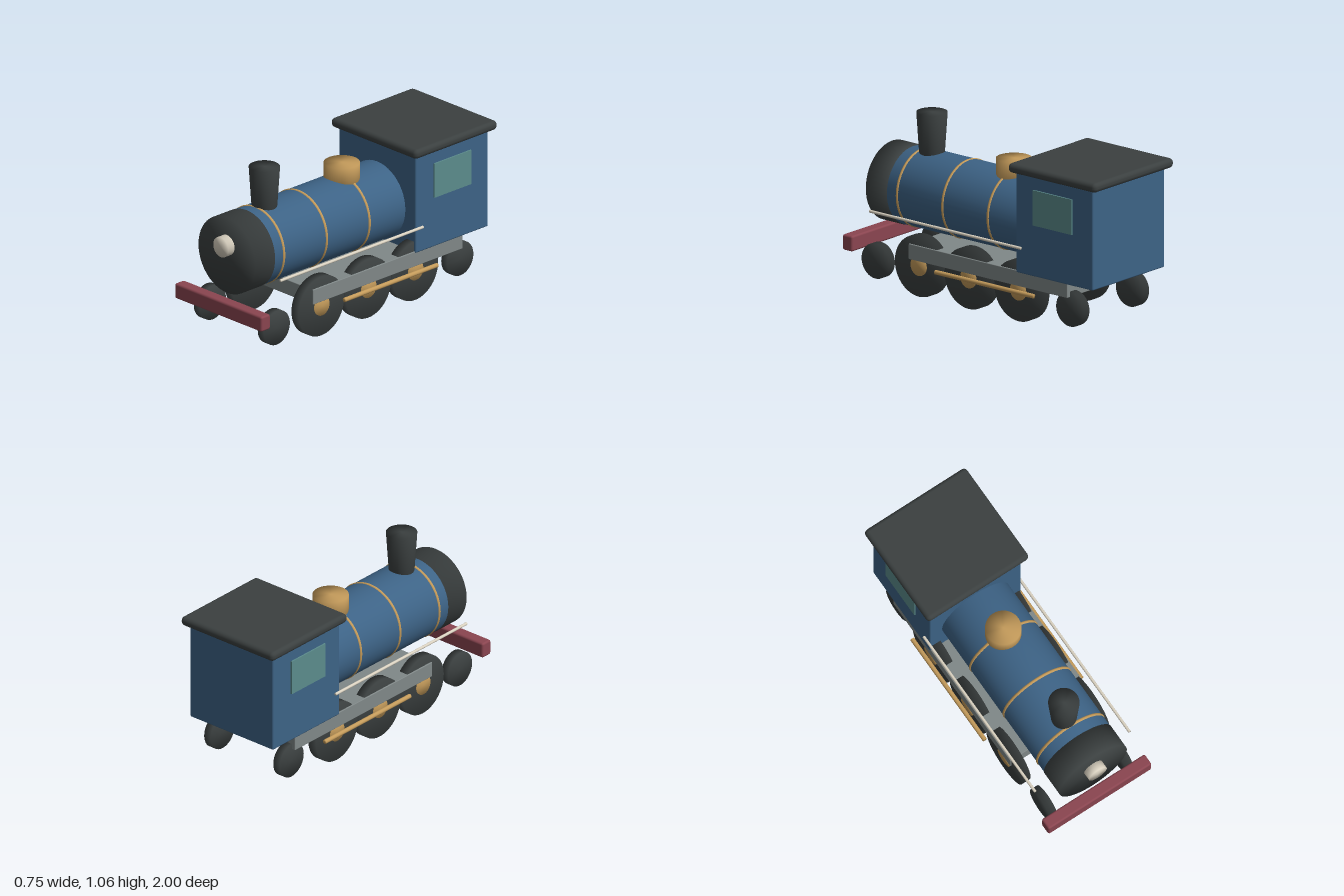
import * as THREE from 'three';
import { mergeVertices } from 'three/addons/utils/BufferGeometryUtils.js';
import { RoundedBoxGeometry } from 'three/addons/geometries/RoundedBoxGeometry.js';

const paint = (name, color) => {
  const m = new THREE.MeshStandardMaterial({ color });
  m.name = name;
  return m;
};

export function createModel() {
  const blue = paint('blue paint', 0x3d6386);
  const black = paint('black iron', 0x3b4040);
  const brass = paint('brass', 0xc39a5a);
  const cream = paint('cream', 0xd9d1c0);
  const red = paint('red paint', 0x8a4550);
  const grey = paint('grey steel', 0x808888);
  const glass = paint('teal glass', 0x5b8c8c);

  const model = new THREE.Group();
  model.name = 'steamLocomotive';

  const add = (name, geometry, material, x, y, z) => {
    const mesh = new THREE.Mesh(geometry, material);
    mesh.name = name;
    mesh.position.set(x, y, z);
    model.add(mesh);
    return mesh;
  };

  // Turned part whose caps blend softly into its side; axis is x, y or z
  const turned = (rTop, rBottom, length, axis = 'y') => {
    let g = new THREE.CylinderGeometry(rTop, rBottom, length, 48);
    g.deleteAttribute('normal');
    g.deleteAttribute('uv');
    g = mergeVertices(g, 1e-5);
    if (axis === 'x') g.rotateZ(-Math.PI / 2);
    if (axis === 'z') g.rotateX(Math.PI / 2);
    g.computeVertexNormals();
    return g;
  };
  const block = (w, h, d, r) => new RoundedBoxGeometry(w, h, d, 2, r);

  // Boiler, smokebox and fittings
  const axisY = 0.57;
  add('boiler', turned(0.243, 0.243, 1.12, 'z'), blue, 0, axisY, 0.21);
  add('smokebox', turned(0.246, 0.246, 0.165, 'z'), black, 0, axisY, 0.842);
  for (const z of [0.68, 0.32, -0.04]) {
    add('boilerBand', new THREE.TorusGeometry(0.236, 0.012, 10, 64), brass, 0, axisY, z);
  }
  add('headlamp', turned(0.065, 0.065, 0.06, 'z'), cream, 0, 0.637, 0.947);
  add('chimney', turned(0.095, 0.077, 0.27), black, 0, 0.924, 0.61);
  add('steamDome', turned(0.11, 0.11, 0.14), brass, 0, 0.826, -0.042);

  // Cab
  add('cab', block(0.664, 0.63, 0.612, 0.01), blue, 0, 0.625, -0.646);
  add('cabRoof', block(0.74, 0.06, 0.697, 0.027), black, 0, 0.968, -0.6515);

  // Chassis
  add('frame', block(0.652, 0.097, 1.26, 0.004), grey, 0, 0.272, -0.113);
  add('bufferBeam', block(0.75, 0.098, 0.078, 0.013), red, 0, 0.248, 0.962);

  // Parts mirrored on both sides
  for (const s of [1, -1]) {
    add('cabWindow', new THREE.BoxGeometry(0.0095, 0.222, 0.31), glass, s * 0.342, 0.747, -0.64);
    add('handrail', turned(0.009, 0.009, 1.2, 'z'), cream, s * 0.343, 0.472, 0.21);
    for (const z of [0.44, 0.045, -0.35]) {
      add('drivingWheel', turned(0.192, 0.192, 0.062, 'x'), black, s * 0.287, 0.192, z);
      add('wheelHub', turned(0.062, 0.062, 0.03, 'x'), brass, s * 0.31, 0.194, z);
    }
    for (const z of [0.8, -0.745]) {
      add('carryingWheel', turned(0.11, 0.11, 0.052, 'x'), black, s * 0.276, 0.15, z);
    }
    add('couplingRod', turned(0.014, 0.014, 0.78, 'z'), brass, s * 0.352, 0.194, -0.11);
  }
  return model;
}
